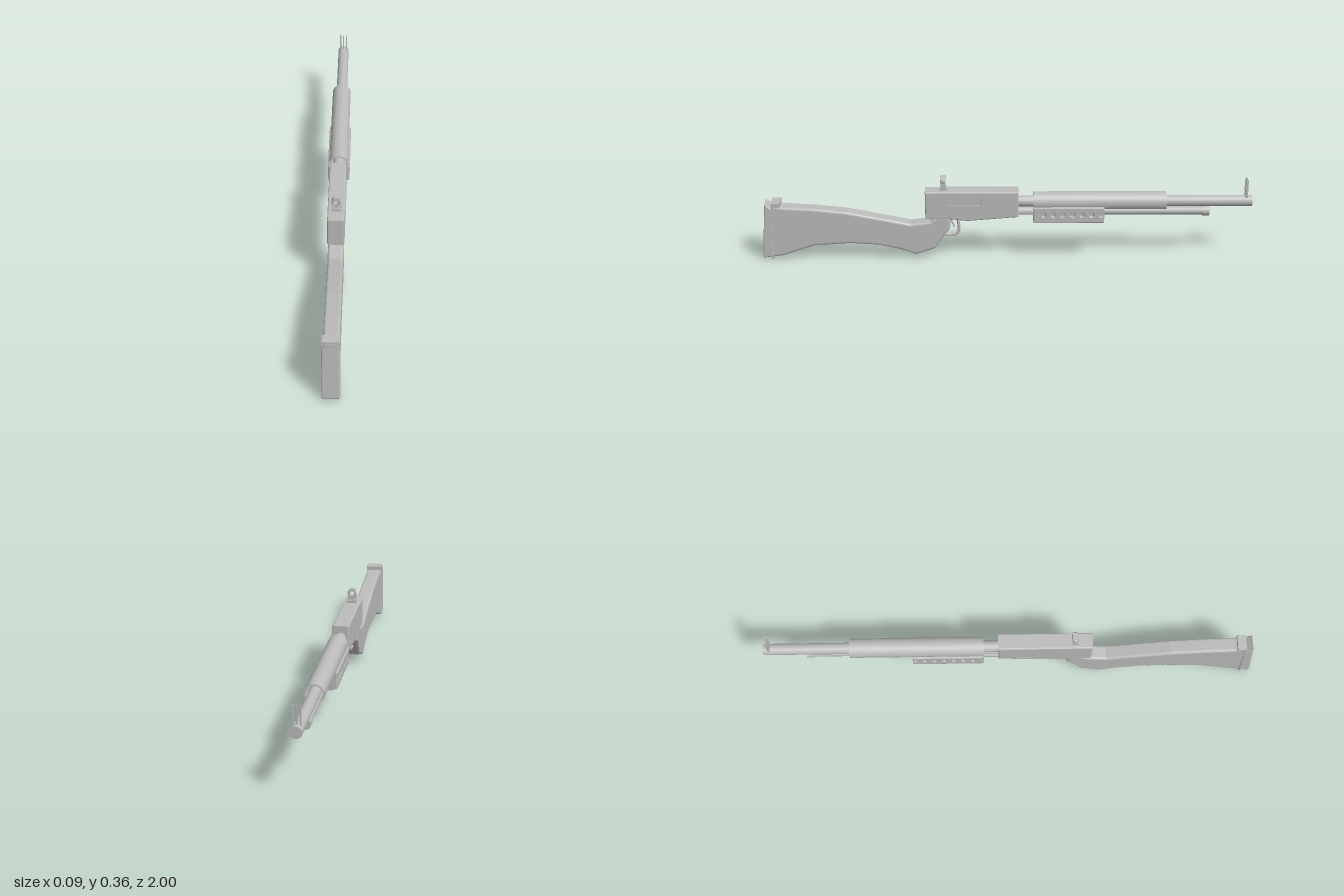
import * as THREE from 'three';

const grey = new THREE.MeshStandardMaterial({ color: 0xbcbcbc });
grey.name = 'plain grey';

export function createModel() {
  const model = new THREE.Group();
  model.name = 'longGun';

  const add = (name, geometry, x = 0, y = 0, z = 0) => {
    const mesh = new THREE.Mesh(geometry, grey);
    mesh.name = name;
    mesh.position.set(x, y, z);
    model.add(mesh);
    return mesh;
  };
  const polygon = (points) => new THREE.Shape(points.map(([a, b]) => new THREE.Vector2(a, b)));
  const box = (name, w, h, d, x, y, z) => add(name, new THREE.BoxGeometry(w, h, d), x, y, z);
  const rod = (name, r, y, z0, z1) =>
    add(name, new THREE.CylinderGeometry(r, r, Math.abs(z1 - z0), 24).rotateX(Math.PI / 2), 0, y, (z0 + z1) / 2);

  // Side outline given as (-z, y), extruded across the width with bevelled edges
  const slab = (shape, width, bevel) => {
    const g = new THREE.ExtrudeGeometry(shape, {
      depth: width - 2 * bevel, bevelEnabled: true, bevelThickness: bevel,
      bevelSize: bevel, bevelOffset: -bevel, bevelSegments: 3, curveSegments: 8,
    });
    return g.translate(0, 0, bevel - width / 2).rotateY(Math.PI / 2);
  };
  const sideOutline = (points) => polygon(points.map(([z, y]) => [-z, y]));
  // Front outline given as (x, y), extruded from z0 to z1
  const along = (shape, z0, z1) =>
    new THREE.ExtrudeGeometry(shape, { depth: z1 - z0, bevelEnabled: false, curveSegments: 20 }).translate(0, 0, z0);

  // Stock with grip
  add('stock', slab(sideOutline([
    [0.958, 0.238], [0.91, 0.23], [0.78, 0.222], [0.65, 0.208], [0.5, 0.178], [0.39, 0.155], [0.31, 0.165],
    [0.28, 0.187], [0.23, 0.187], [0.23, 0.134], [0.25, 0.108], [0.29, 0.048], [0.37, 0.02], [0.435, 0.043],
    [0.53, 0.063], [0.64, 0.07], [0.79, 0.06], [0.917, 0.016], [0.965, 0.01],
  ]), 0.062, 0.01));
  // Butt pad
  add('buttPad', slab(sideOutline([
    [0.982, 0.246], [0.945, 0.252], [0.915, 0.234], [0.955, 0.225], [0.967, 0.012], [0.955, 0.002],
    [0.962, 0], [0.998, 0.008], [1, 0.016],
  ].filter(([z]) => z > 0.95).concat([[0.963, 0.008], [0.95, 0.25]])
    .sort((p, q) => Math.atan2(p[1] - 0.125, p[0] - 0.97) - Math.atan2(q[1] - 0.125, q[0] - 0.97))), 0.068, 0.006));
  box('buttPadHeel', 0.066, 0.018, 0.036, 0, 0.24, 0.938);

  // Receiver
  add('receiver', slab(sideOutline([
    [0.33, 0.297], [0.33, 0.178], [0.235, 0.178], [0.157, 0.17], [-0.05, 0.187], [-0.05, 0.297],
  ]), 0.068, 0.006));
  // Raised rim around the ejection port, right side only
  const port = sideOutline([[0.24, 0.238], [0.1, 0.238], [0.1, 0.276], [0.24, 0.276]]);
  port.holes.push(sideOutline([[0.236, 0.242], [0.236, 0.272], [0.104, 0.272], [0.104, 0.242]]));
  add('ejectionPort', slab(port, 0.003, 0.0005), 0.0345);

  // Action bars running back from the pump
  for (const s of [-1, 1]) {
    box('actionBar', 0.006, 0.012, 0.08, s * 0.025, 0.202, -0.08);
    box('actionBarSlot', 0.002, 0.004, 0.13, s * 0.034, 0.203, 0.02);
  }

  // Barrel and magazine tube
  rod('barrel', 0.023, 0.246, -0.04, -1);
  rod('magazineTube', 0.017, 0.203, -0.04, -0.81);
  rod('magazineCap', 0.021, 0.203, -0.8, -0.828);

  // Open-bottomed heat shield over the barrel
  const start = -0.65, end = Math.PI + 0.65;
  const shield = new THREE.Shape();
  shield.absarc(0, 0.246, 0.039, start, end, false);
  shield.absarc(0, 0.246, 0.034, end, start, true);
  add('heatShield', along(shield, -0.65, -0.11));

  // Pump handle: core plus two perforated cheek panels
  add('pumpCore', along(polygon([
    [-0.028, 0.16], [0.028, 0.16], [0.037, 0.17], [0.037, 0.23], [0.03, 0.238],
    [-0.03, 0.238], [-0.037, 0.23], [-0.037, 0.17],
  ]), -0.398, -0.11));
  const cheek = sideOutline([[-0.11, 0.165], [-0.398, 0.165], [-0.398, 0.233], [-0.11, 0.233]]);
  for (let i = 0; i < 7; i++) {
    const hole = new THREE.Path();
    hole.absarc(0.152 + i * 0.039, 0.201, 0.008, 0, Math.PI * 2, true);
    cheek.holes.push(hole);
  }
  for (const s of [-1, 1]) add('pumpCheek', slab(cheek, 0.014, 0.005), s * 0.038);

  // Trigger guard and trigger
  const bend = (points) => new THREE.CatmullRomCurve3(points.map(([z, y]) => new THREE.Vector3(0, y, z)));
  add('triggerGuard', new THREE.TubeGeometry(bend([
    [0.2, 0.178], [0.196, 0.15], [0.194, 0.12], [0.203, 0.103], [0.225, 0.098], [0.265, 0.1],
  ]), 24, 0.006, 8));
  add('trigger', new THREE.TubeGeometry(bend([[0.225, 0.18], [0.222, 0.155], [0.212, 0.135]]), 8, 0.004, 8));

  // Rear peep sight
  box('rearSightBase', 0.038, 0.012, 0.03, 0, 0.302, 0.257);
  const peep = polygon([
    [-0.016, 0.305], [0.016, 0.305], [0.016, 0.345], [0.01, 0.357], [-0.01, 0.357], [-0.016, 0.345],
  ]);
  const eye = new THREE.Path();
  eye.absarc(0, 0.337, 0.01, 0, Math.PI * 2, true);
  peep.holes.push(eye);
  for (const x of [-0.009, 0.009]) {
    peep.holes.push(polygon([[x - 0.003, 0.31], [x - 0.003, 0.32], [x + 0.003, 0.32], [x + 0.003, 0.31]]));
  }
  add('rearSight', along(peep, 0.247, 0.267));
  for (const s of [-1, 1]) {
    add('rearSightKnob', new THREE.CylinderGeometry(0.007, 0.01, 0.004, 16).rotateZ(-s * Math.PI / 2), s * 0.018, 0.337, 0.257);
  }

  // Front sight blade between two ears
  box('frontSightBlade', 0.004, 0.075, 0.008, 0, 0.3, -0.976);
  for (const s of [-1, 1]) box('frontSightEar', 0.005, 0.08, 0.01, s * 0.013, 0.3, -0.976);

  return model;
}
